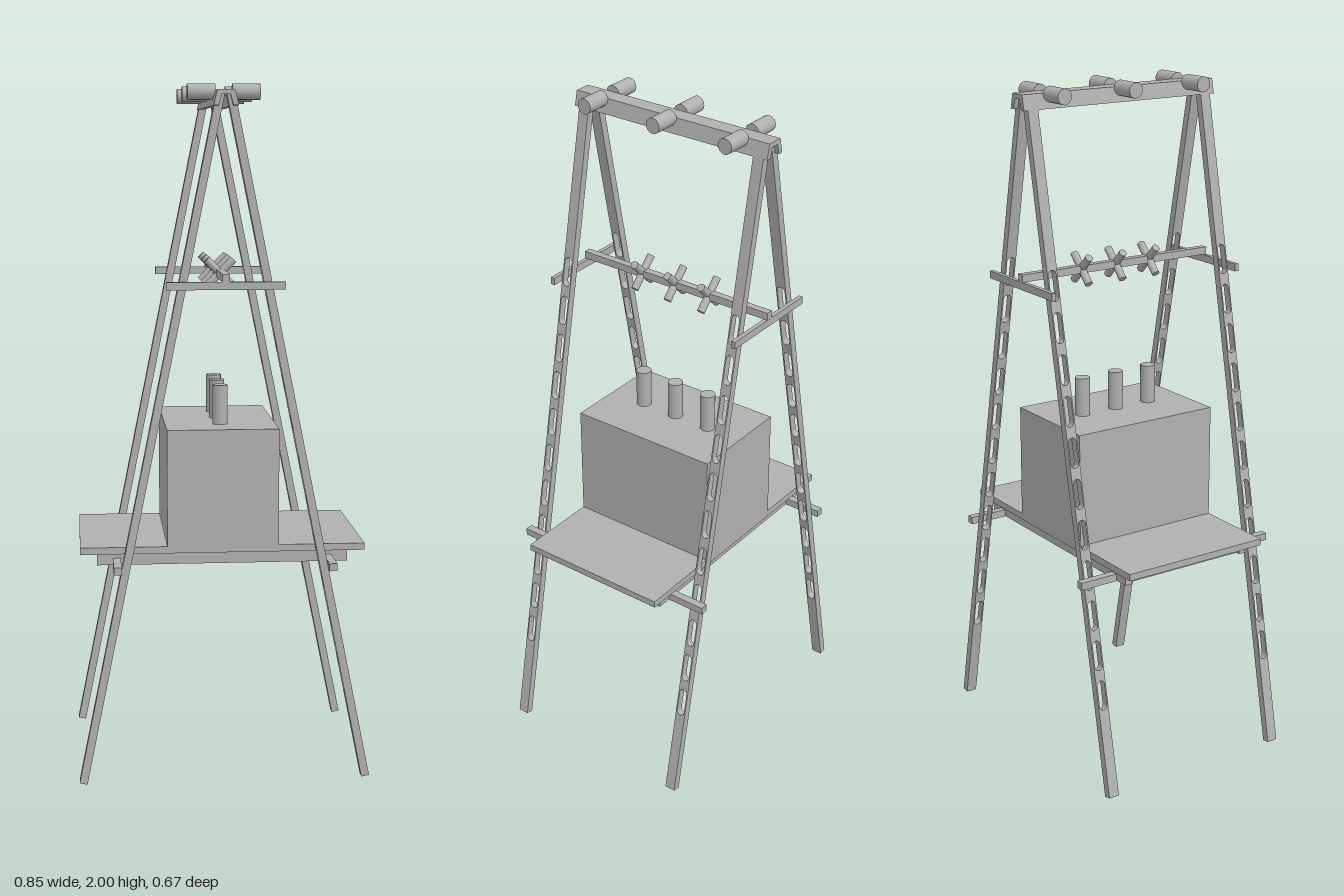
import * as THREE from 'three';

const grey = new THREE.MeshStandardMaterial({ color: 0xb0b0b0 });
grey.name = 'plain grey';

export function createModel() {
  const model = new THREE.Group();
  model.name = 'slottedStand';

  const add = (name, geometry, x, y, z) => {
    const mesh = new THREE.Mesh(geometry, grey);
    mesh.name = name;
    mesh.position.set(x, y, z);
    model.add(mesh);
    return mesh;
  };
  const box = (name, w, h, d, x, y, z) => add(name, new THREE.BoxGeometry(w, h, d), x, y, z);
  const peg = (name, r, length, x, y, z, tilt = 0) => {
    const mesh = add(name, new THREE.CylinderGeometry(r, r, length, 16), x, y, z);
    mesh.rotation.z = tilt;
    return mesh;
  };

  // Leg board with a row of rounded slots
  const lean = Math.atan2(0.398, 1.97);
  const legLength = 1.97 / Math.cos(lean);
  const half = 0.0165;
  const legShape = new THREE.Shape();
  legShape.moveTo(-half, 0);
  legShape.lineTo(half, 0);
  legShape.lineTo(half, legLength);
  legShape.lineTo(-half, legLength);
  legShape.closePath();
  for (let i = 0; i < 11; i++) {
    const c = (0.3 + i * 0.116) / Math.cos(lean);
    const r = 0.0125;
    const h = 0.031;
    const slot = new THREE.Path();
    slot.moveTo(r, c - h);
    slot.lineTo(r, c + h);
    slot.absarc(0, c + h, r, 0, Math.PI, false);
    slot.lineTo(-r, c - h);
    slot.absarc(0, c - h, r, Math.PI, Math.PI * 2, false);
    legShape.holes.push(slot);
  }
  const legGeometry = new THREE.ExtrudeGeometry(legShape, { depth: 0.023, bevelEnabled: false, curveSegments: 8 });
  legGeometry.translate(0, 0, -0.0115);
  legGeometry.rotateY(Math.PI / 2);
  for (const side of [-1, 1]) {
    for (const end of [-1, 1]) {
      add('leg', legGeometry, side * 0.412, 0.003, end * 0.295).rotation.z = side * lean;
    }
  }

  // Top beam: tapered channel, open underneath
  const beam = new THREE.Shape([
    [-0.035, 1.938], [-0.02, 1.938], [-0.012, 1.968], [0.012, 1.968],
    [0.02, 1.938], [0.035, 1.938], [0.025, 1.981], [-0.025, 1.981],
  ].map(([x, y]) => new THREE.Vector2(x, y)));
  add('topBeam', new THREE.ExtrudeGeometry(beam, { depth: 0.65, bevelEnabled: false }), 0, 0, -0.325);

  // Hanging pegs on both sides of the beam
  for (const z of [-0.236, 0, 0.236]) {
    for (const side of [-1, 1]) peg('beamPeg', 0.0225, 0.078, side * 0.063, 1.977, z, Math.PI / 2);
  }

  // Upper braces, the bar resting on them and its crossed pegs
  for (const end of [-1, 1]) box('upperBrace', 0.334, 0.022, 0.013, 0, 1.444, end * 0.319);
  box('upperBar', 0.022, 0.022, 0.65, 0, 1.466, 0);
  for (const z of [-0.118, 0, 0.118]) {
    for (const side of [-1, 1]) peg('crossedPeg', 0.0115, 0.11, 0, 1.466, z, side * Math.PI / 4);
  }

  // Shelf and its underframe
  box('shelf', 0.828, 0.02, 0.47, 0, 0.675, 0);
  for (const end of [-1, 1]) {
    box('shelfRail', 0.73, 0.036, 0.022, 0, 0.647, end * 0.205);
    box('supportBar', 0.023, 0.022, 0.668, end * 0.308, 0.638, 0);
    for (const x of [0.175, 0.35]) box('shelfSlat', 0.022, 0.032, 0.39, end * x, 0.65, 0);
  }

  // Cabinet with three posts on top
  box('cabinet', 0.324, 0.355, 0.47, 0, 0.8475, 0);
  for (const z of [-0.118, 0, 0.118]) peg('cabinetPost', 0.0225, 0.115, 0, 1.0825, z);

  return model;
}
